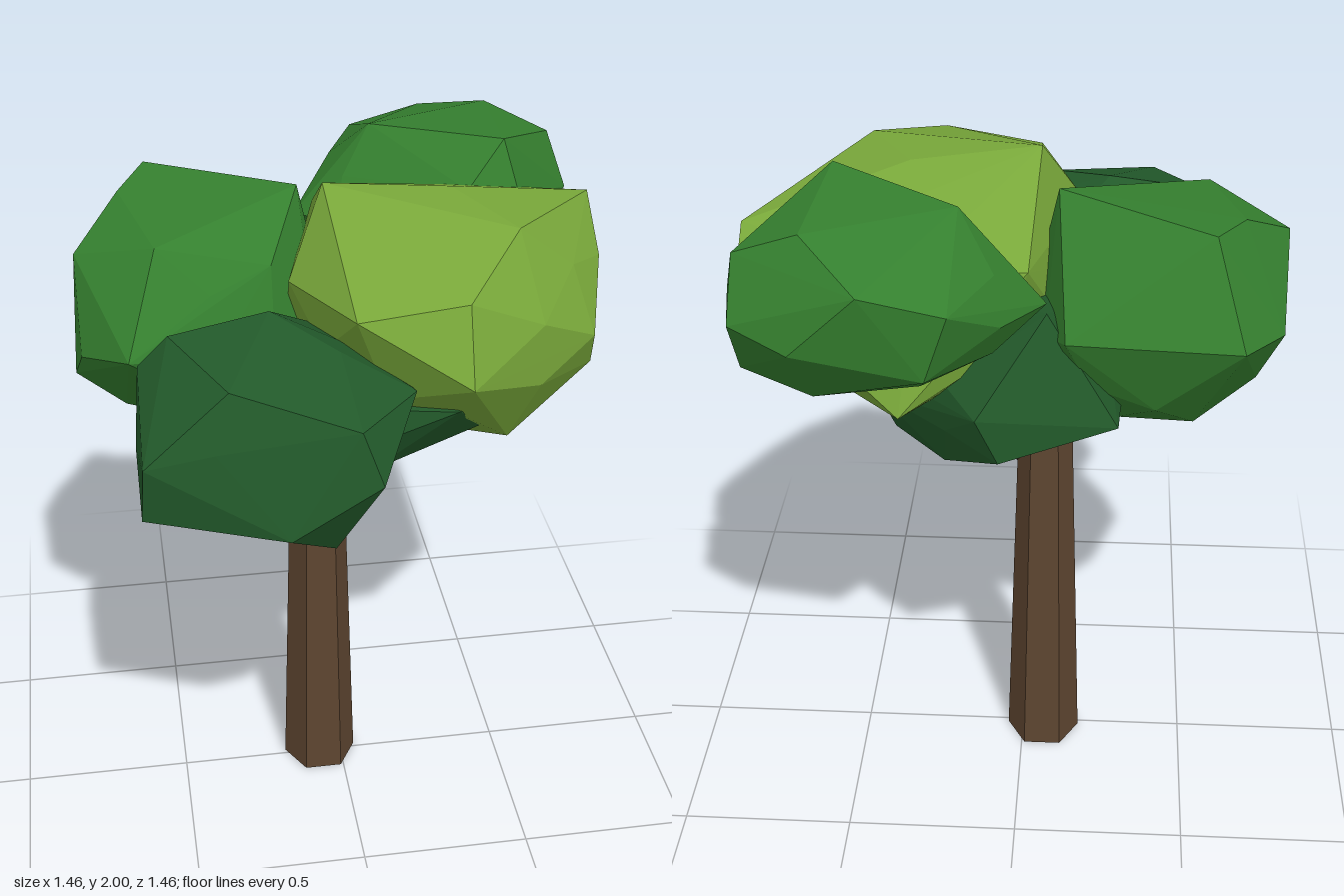
import * as THREE from 'three';
import { mergeVertices } from 'three/addons/utils/BufferGeometryUtils.js';
import { ConvexGeometry } from 'three/addons/geometries/ConvexGeometry.js';

const mat = (color) => new THREE.MeshStandardMaterial({ color, flatShading: true });

// small seeded generator in [-1, 1]
function seeded(seed) {
  let s = seed;
  return () => {
    s = (s * 16807) % 2147483647;
    return (s / 2147483647) * 2 - 1;
  };
}

// Faceted leaf clump: hull of a jittered icosphere fitted to a box, its nearest corners replaced by key points
function leafClump(name, material, min, max, keys, seed) {
  const rand = seeded(seed);
  const ball = new THREE.IcosahedronGeometry(1, 1);
  ball.deleteAttribute('uv');
  ball.deleteAttribute('normal');
  const pos = mergeVertices(ball, 1e-3).attributes.position;
  const box = new THREE.Box3(new THREE.Vector3(...min), new THREE.Vector3(...max));
  const mid = box.getCenter(new THREE.Vector3());
  const half = box.getSize(new THREE.Vector3()).multiplyScalar(0.5);
  const points = [];
  for (let i = 0; i < pos.count; i++) {
    const p = new THREE.Vector3().fromBufferAttribute(pos, i);
    points.push(p.multiplyScalar(1 + 0.03 * rand()).multiply(half).add(mid));
  }
  const corners = keys.map((k) => new THREE.Vector3(...k));
  for (const c of corners) {
    points.sort((a, b) => a.distanceTo(c) - b.distanceTo(c));
    points.shift();
  }
  const mesh = new THREE.Mesh(new ConvexGeometry([...points, ...corners]), material);
  mesh.name = name;
  return mesh;
}

// Tapered six-sided limb between two points
function limb(name, material, from, to, r0, r1) {
  const a = new THREE.Vector3(...from), b = new THREE.Vector3(...to);
  const geo = new THREE.CylinderGeometry(r1, r0, a.distanceTo(b), 6);
  geo.rotateY(Math.PI / 6);
  const mesh = new THREE.Mesh(geo, material);
  mesh.position.copy(a).add(b).multiplyScalar(0.5);
  mesh.quaternion.setFromUnitVectors(new THREE.Vector3(0, 1, 0), b.sub(a).normalize());
  mesh.name = name;
  return mesh;
}

export function createModel() {
  const tree = new THREE.Group();
  tree.name = 'tree';
  const bark = mat(0x5d4530), branchBark = mat(0x5f4032);
  const dark = mat(0x22592a), middle = mat(0x35802f), light = mat(0x79a83a);

  // Trunk and branches
  tree.add(
    limb('trunk', bark, [-0.065, 0, -0.015], [-0.065, 1.4, -0.015], 0.112, 0.07),
    limb('leftBranch', branchBark, [-0.03, 1.0, 0], [0.26, 1.3, 0.07], 0.035, 0.028),
    limb('rightBranch', branchBark, [-0.08, 1.09, -0.02], [-0.28, 1.28, -0.06], 0.035, 0.028),
  );

  // Bright clump, front left
  tree.add(leafClump('brightFoliage', light, [-0.14, 1.34, -0.42], [0.68, 1.92, 0.5], [
    [-0.05, 1.98, 0.02], [0.3, 1.94, 0], [0.43, 1.92, 0.25], [0.1, 1.9, 0.25],
    [0.25, 1.64, 0.58], [0.25, 1.84, 0.5], [-0.03, 1.8, 0.48], [-0.16, 1.77, 0.16],
    [0.65, 1.6, 0.26], [0.73, 1.83, -0.17], [0.72, 1.72, 0.02], [0.73, 1.74, -0.28],
    [0.68, 1.46, -0.15], [0.68, 1.46, 0.15], [0.42, 1.32, 0.28], [0.3, 1.42, -0.47],
    [-0.03, 1.78, -0.33],
  ], 11));

  // Mid-green clump, back right
  tree.add(leafClump('rightFoliage', middle, [-0.7, 1.28, -0.47], [-0.03, 1.9, 0.23], [
    [-0.73, 1.47, 0.02], [-0.71, 1.79, -0.05], [-0.58, 1.89, -0.22], [-0.1, 1.92, -0.12],
    [-0.69, 1.62, -0.33], [-0.58, 1.65, -0.5], [-0.13, 1.65, -0.47], [-0.59, 1.62, 0.27],
    [-0.2, 1.8, 0.12], [-0.6, 1.35, 0.0], [-0.5, 1.86, 0.1], [-0.5, 1.91, -0.37],
    [-0.71, 1.56, 0.1],
  ], 23));

  // Mid-green clump, back left
  tree.add(leafClump('backFoliage', middle, [-0.02, 1.53, -0.69], [0.7, 1.96, -0.13], [
    [0.48, 2.0, -0.16], [0.14, 1.98, -0.38], [0.51, 1.97, -0.54], [0.35, 1.9, -0.73],
    [0.14, 1.85, -0.72], [0.2, 1.67, -0.71], [0.69, 1.89, -0.48], [0.69, 1.75, -0.6],
    [0.53, 1.72, -0.69], [0.73, 1.75, -0.39], [0.69, 1.58, -0.5], [-0.08, 1.72, -0.38],
    [0.37, 1.88, -0.1], [0.5, 1.53, -0.55], [0.32, 1.51, -0.34], [0.17, 1.85, -0.26],
    [0.52, 1.85, -0.11],
  ], 37));

  // Dark clump, front right
  tree.add(leafClump('frontFoliage', dark, [-0.57, 1.2, 0.06], [0.11, 1.73, 0.69], [
    [-0.59, 1.34, 0.58], [-0.59, 1.48, 0.45], [-0.57, 1.64, 0.32], [-0.49, 1.73, 0.34],
    [-0.23, 1.77, 0.32], [-0.07, 1.72, 0.47], [0.12, 1.61, 0.5], [-0.22, 1.17, 0.38],
    [-0.02, 1.2, 0.38], [-0.1, 1.22, 0.6], [-0.23, 1.34, 0.73], [0, 1.48, 0.73],
    [-0.36, 1.69, 0.58], [-0.58, 1.5, 0.6], [-0.05, 1.62, 0.7],
  ], 41));

  // Dark clump around the trunk top
  tree.add(leafClump('lowerFoliage', dark, [-0.3, 1.16, -0.46], [0.36, 1.64, 0.4], [
    [0.05, 1.13, 0], [0.18, 1.14, -0.02], [0.36, 1.16, -0.08], [0.4, 1.31, -0.15],
    [0.2, 1.19, -0.3], [0.04, 1.31, -0.5], [-0.27, 1.43, -0.5], [0.1, 1.43, -0.49],
    [0.32, 1.49, 0.4], [0.33, 1.42, 0.37], [0.24, 1.52, 0.47], [0.2, 1.26, 0.2],
    [-0.08, 1.69, -0.38],
  ], 53));

  return tree;
}
